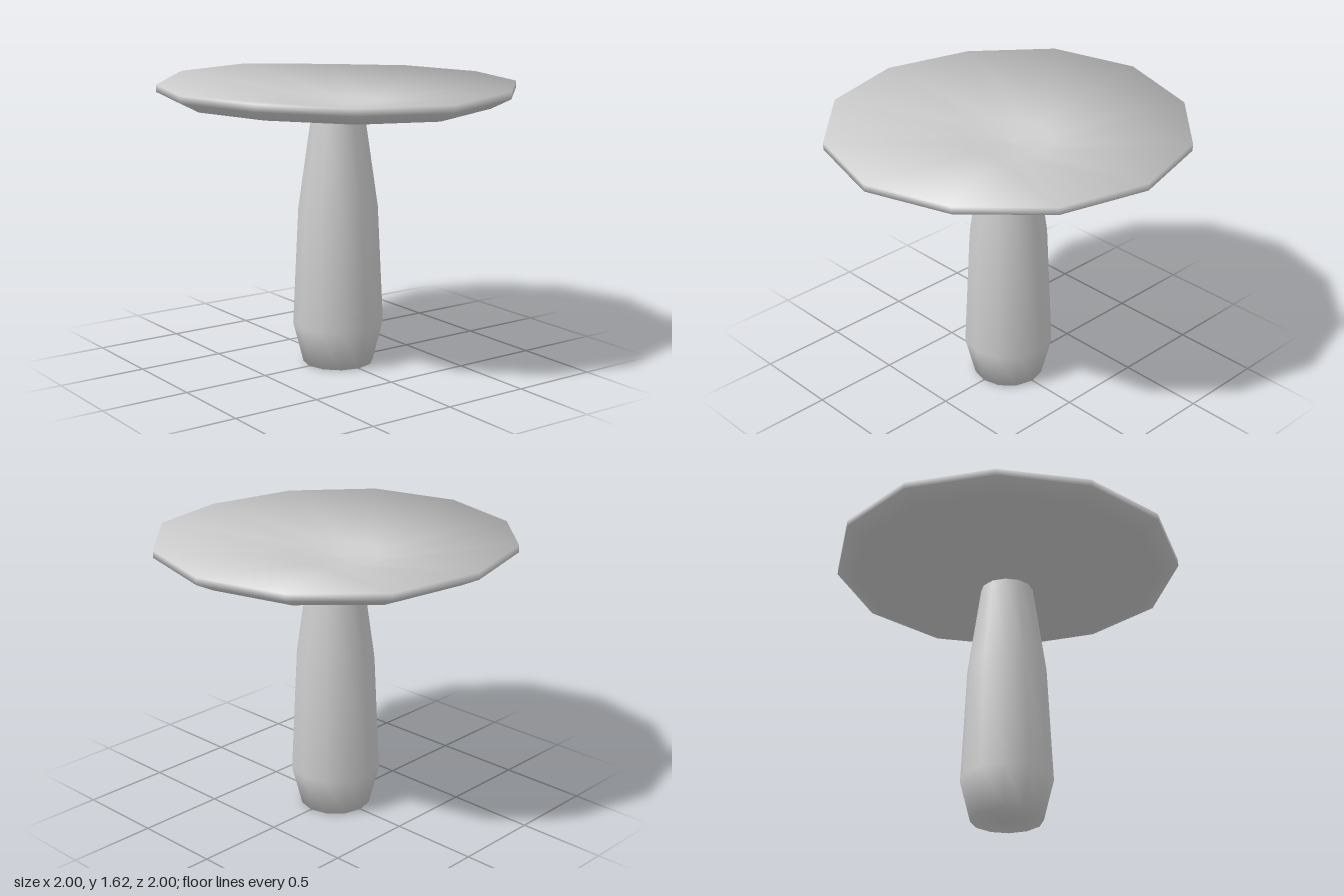
import * as THREE from 'three';

const SIDES = 12;

function lathe(name, profile) {
  const points = profile.map(([r, y]) => new THREE.Vector2(r, y));
  const material = new THREE.MeshStandardMaterial({ color: 0xcccccc, side: THREE.DoubleSide });
  const mesh = new THREE.Mesh(new THREE.LatheGeometry(points, SIDES), material);
  mesh.name = name;
  return mesh;
}

export function createModel() {
  const group = new THREE.Group();
  group.name = 'mushroom';

  // Bulging stem with a closed foot
  group.add(lathe('stem', [[0, 0], [0.2, 0], [0.258, 0.23], [0.225, 0.9], [0.15, 1.42]]));

  // Wide cap: shallow cone below, thin rim, sunken funnel on top
  const profile = [
    [0, 1.415], [0.23, 1.415], [0.89, 1.505], [1, 1.56], [1, 1.6], [0.25, 1.495], [0, 1.475],
  ];
  const cap = lathe('cap', profile);

  // Gentle waviness of the rim, one offset per column starting at the front
  const wave = [-0.018, 0, 0, 0, 0, 0, 0.02, 0.02, 0, 0, 0, -0.01];
  const { position, normal } = cap.geometry.attributes;
  const n = new THREE.Vector3();
  for (let i = 0; i < position.count; i++) {
    const x = position.getX(i), z = position.getZ(i);
    const column = Math.floor(i / profile.length) % SIDES;
    const ring = i % profile.length;
    if (ring >= 2 && ring <= 4) position.setY(i, position.getY(i) + wave[column]);
    // Rounded shading over the lip, blending the top into the rim
    if (ring === 4) {
      n.set(x, 1, z).normalize();
      normal.setXYZ(i, n.x, n.y, n.z);
    }
  }
  group.add(cap);

  return group;
}
